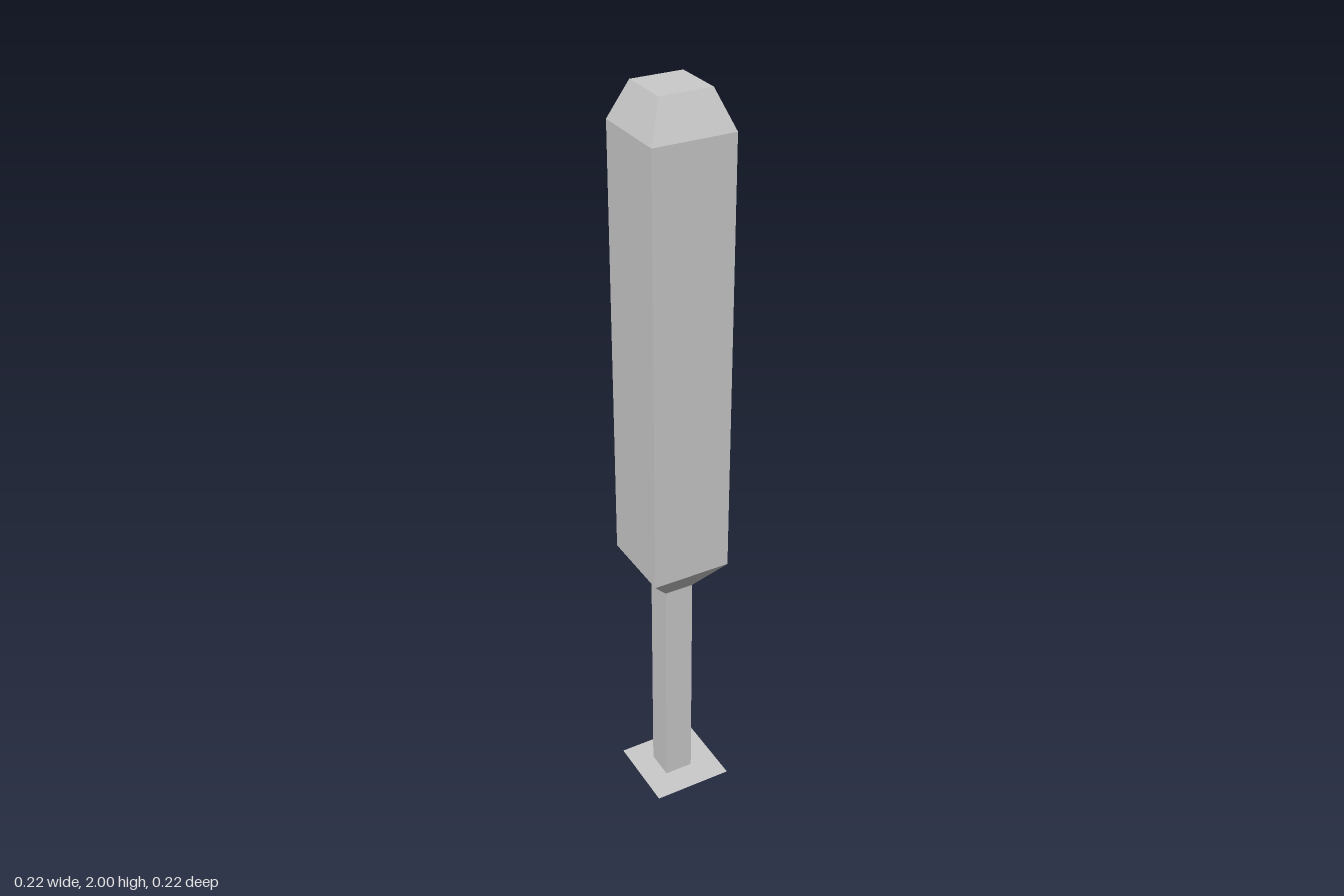
import * as THREE from 'three';

const material = new THREE.MeshStandardMaterial({ color: 0xcccccc, flatShading: true });
const sheet = new THREE.MeshStandardMaterial({ color: 0xcccccc, flatShading: true, side: THREE.DoubleSide });

// Square-section part from [half width, height] pairs, listed bottom to top
function squarePart(name, profile) {
  const points = profile.map(([half, y]) => new THREE.Vector2(half * Math.SQRT2, y));
  const geometry = new THREE.LatheGeometry(points, 4, Math.PI / 4).toNonIndexed();
  geometry.computeVertexNormals();
  const mesh = new THREE.Mesh(geometry, material);
  mesh.name = name;
  return mesh;
}

export function createModel() {
  const group = new THREE.Group();
  group.name = 'pillarSign';

  // Upright, slightly off the centre of its base sheet
  const upright = new THREE.Group();
  upright.name = 'upright';
  upright.position.set(-0.005, 0, -0.006);
  upright.add(
    squarePart('post', [[0, 0], [0.04, 0], [0.04, 0.65]]),
    squarePart('flare', [[0.04, 0.65], [0.107, 0.738]]),
    squarePart('body', [[0.107, 0.738], [0.107, 1.905]]),
    squarePart('cap', [[0.107, 1.905], [0.0675, 2], [0, 2]])
  );
  group.add(upright);

  // Thin square base sheet
  const base = new THREE.Mesh(new THREE.PlaneGeometry(0.222, 0.22), sheet);
  base.name = 'base';
  base.rotation.x = -Math.PI / 2;
  base.position.set(0, 0, 0.001);
  group.add(base);

  return group;
}
